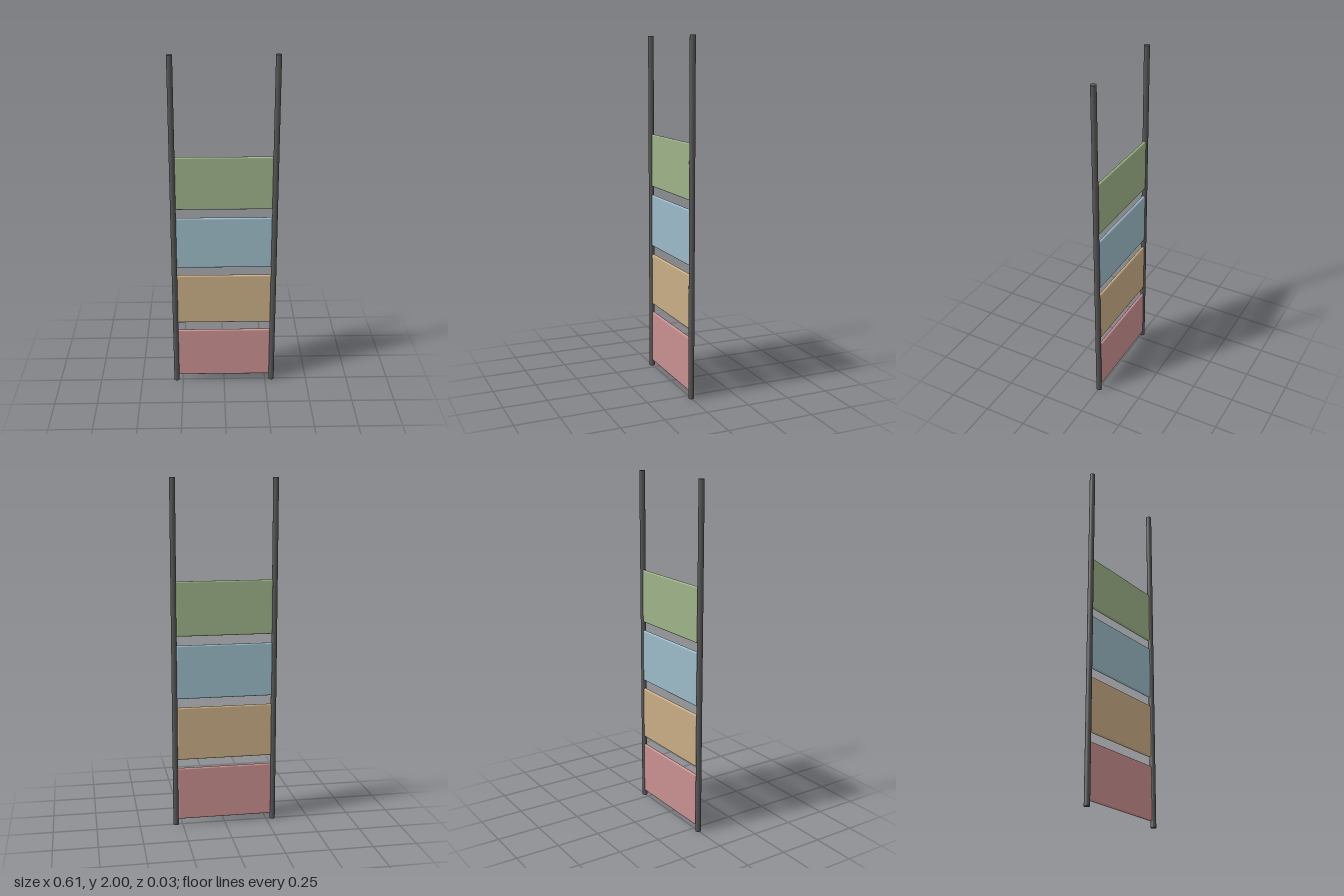
import * as THREE from 'three';
import { RoundedBoxGeometry } from 'three/addons/geometries/RoundedBoxGeometry.js';

const paint = (color) => new THREE.MeshStandardMaterial({ color });

export function createModel() {
  const model = new THREE.Group();
  model.name = 'panelRack';

  // Two full-height round posts
  const postGeometry = new THREE.CylinderGeometry(0.016, 0.016, 2, 24);
  const postMaterial = paint(0x555555);
  for (const [name, side] of [['leftPost', 1], ['rightPost', -1]]) {
    const post = new THREE.Mesh(postGeometry, postMaterial);
    post.name = name;
    post.position.set(side * 0.289, 1, 0);
    model.add(post);
  }

  // Four evenly stacked panels with rounded edges, set slightly back
  const panelGeometry = new RoundedBoxGeometry(0.552, 0.311, 0.018, 4, 0.0085);
  const panelColors = [
    ['redPanel', 0xc98f8f],
    ['tanPanel', 0xc9ad85],
    ['bluePanel', 0x9bbbc8],
    ['greenPanel', 0x9db288],
  ];
  panelColors.forEach(([name, color], i) => {
    const panel = new THREE.Mesh(panelGeometry, paint(color));
    panel.name = name;
    panel.position.set(0, 0.19 + i * 0.3625, -0.004);
    model.add(panel);
  });

  return model;
}
